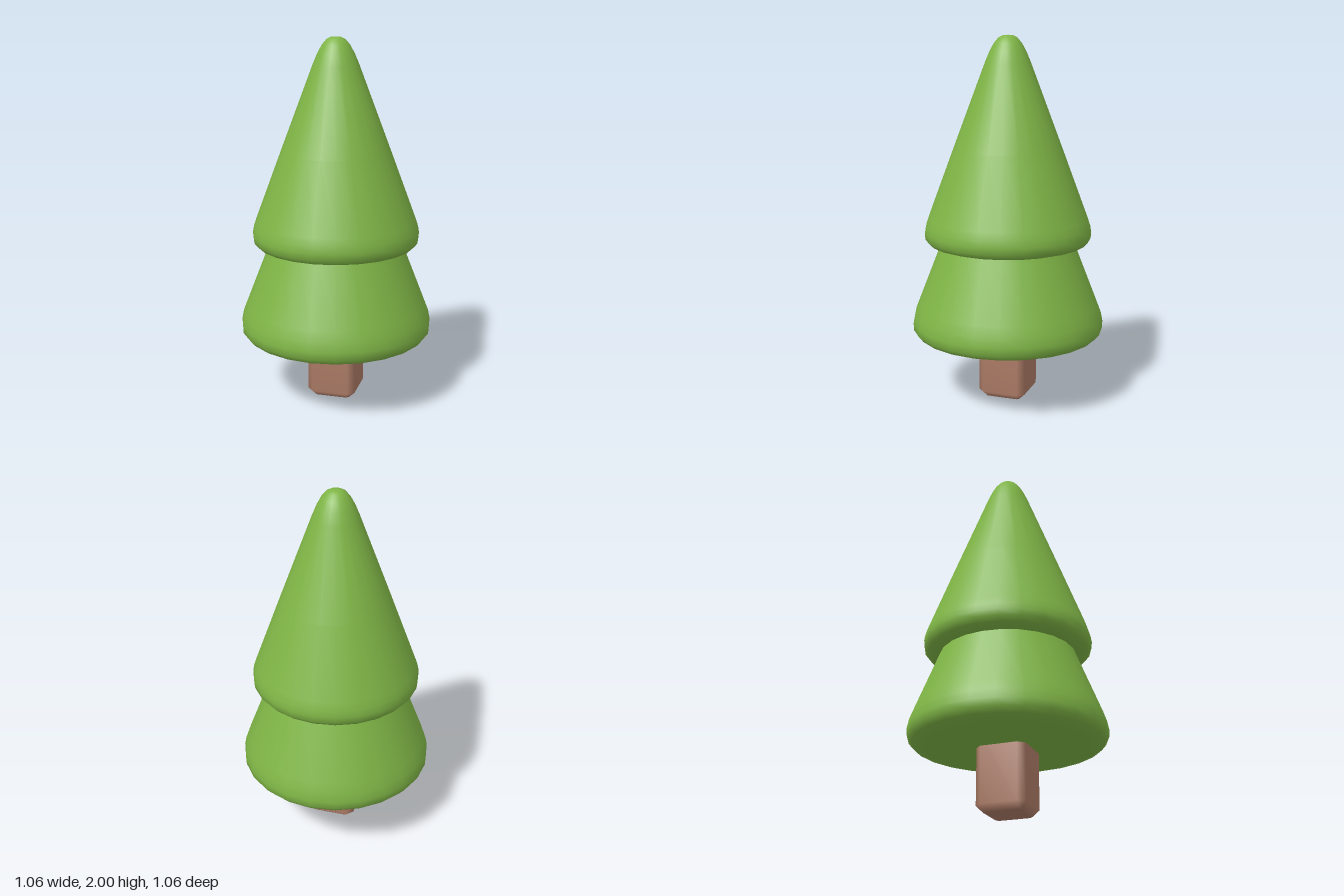
import * as THREE from 'three';
import { mergeVertices } from 'three/addons/utils/BufferGeometryUtils.js';

const leafGreen = new THREE.MeshStandardMaterial({ name: 'leafGreen', color: 0x7fb546 });
const barkBrown = new THREE.MeshStandardMaterial({ name: 'barkBrown', color: 0xac7b66 });

// Soft-edged foliage tier turned from [radius, height] points, bottom to top
function tier(name, profile) {
  const points = profile.map(([r, y]) => new THREE.Vector2(r, y));
  const mesh = new THREE.Mesh(new THREE.LatheGeometry(points, 24), leafGreen);
  mesh.name = name;
  return mesh;
}

// Square post with chamfered corners and ends, smooth shaded
function post(half, height, bevel) {
  const a = half, b = half - bevel;
  const outline = [[a, -b], [a, b], [b, a], [-b, a], [-a, b], [-a, -b], [-b, -a], [b, -a]];
  let geometry = new THREE.ExtrudeGeometry(
    new THREE.Shape(outline.map(([x, y]) => new THREE.Vector2(x, y))),
    {
      depth: height - 2 * bevel, bevelEnabled: true, bevelSegments: 1,
      bevelSize: bevel, bevelThickness: bevel, bevelOffset: -bevel,
    },
  );
  geometry.rotateX(-Math.PI / 2).translate(0, bevel, 0);
  geometry.deleteAttribute('normal');
  geometry.deleteAttribute('uv');
  geometry = mergeVertices(geometry, 1e-4);
  geometry.computeVertexNormals();
  return geometry;
}

export function createModel() {
  const tree = new THREE.Group();
  tree.name = 'tree';

  const trunk = new THREE.Mesh(post(0.135, 0.46, 0.035), barkBrown);
  trunk.name = 'trunk';

  tree.add(
    trunk,
    tier('lowerFoliage', [
      [0, 0.335], [0.28, 0.338], [0.44, 0.35], [0.505, 0.367], [0.528, 0.395],
      [0.53, 0.435], [0.52, 0.485], [0.5, 0.537], [0.37, 0.87], [0.33, 0.96], [0, 0.97],
    ]),
    tier('upperFoliage', [
      [0, 0.86], [0.3, 0.86], [0.385, 0.865], [0.435, 0.88], [0.456, 0.905],
      [0.459, 0.94], [0.453, 0.975], [0.44, 1.015], [0.3, 1.39], [0.124, 1.855],
      [0.1, 1.912], [0.075, 1.958], [0.05, 1.987], [0.028, 1.998], [0, 2],
    ]),
  );
  return tree;
}
